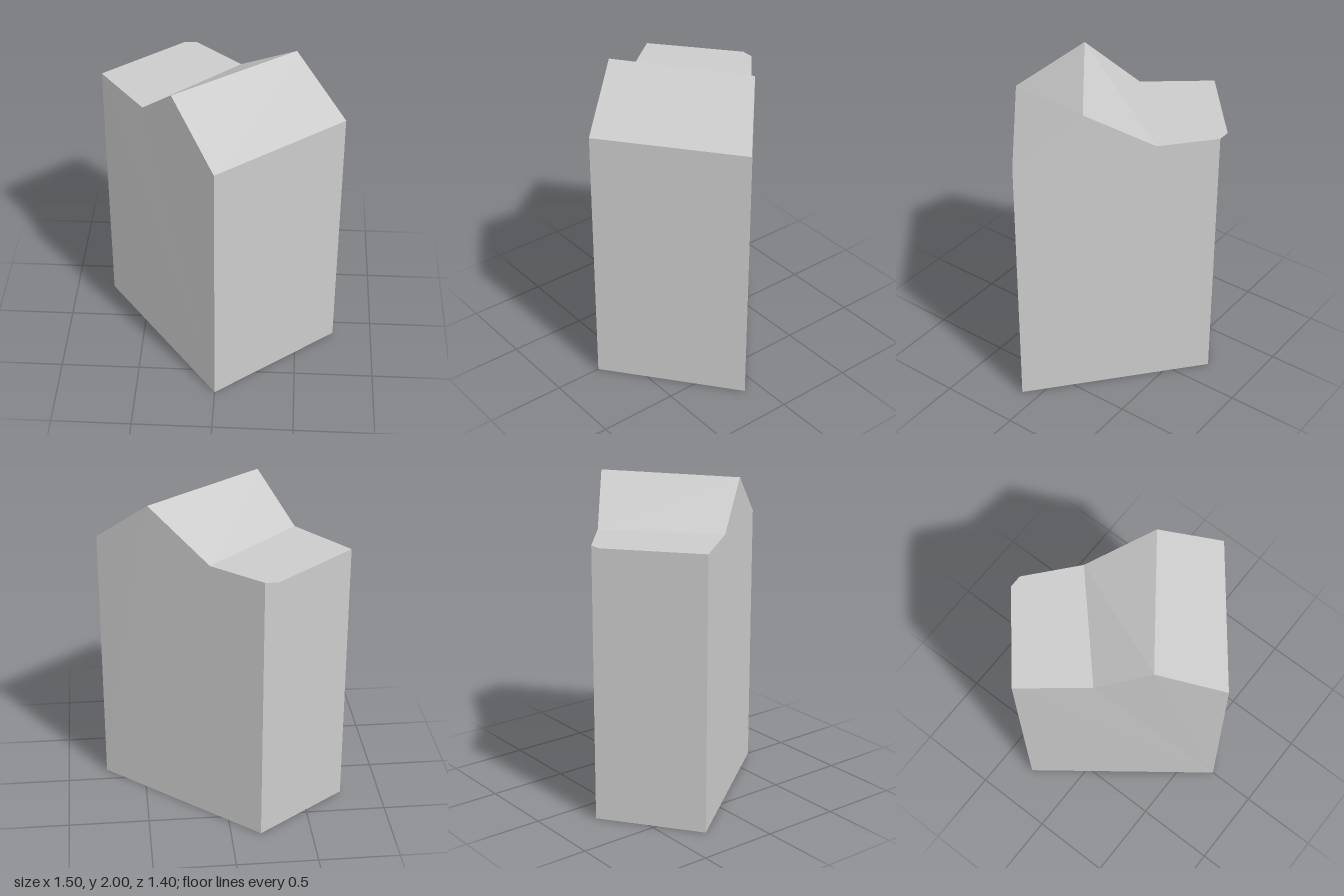
import * as THREE from 'three';

const material = new THREE.MeshStandardMaterial({ color: 0xcccccc, flatShading: true });

// One flat panel, fanned from its first corner (corners counter-clockwise from outside)
function panel(name, corners) {
  const triangles = [];
  for (let i = 1; i < corners.length - 1; i++) {
    triangles.push(...corners[0], ...corners[i], ...corners[i + 1]);
  }
  const geometry = new THREE.BufferGeometry();
  geometry.setAttribute('position', new THREE.Float32BufferAttribute(triangles, 3));
  geometry.computeVertexNormals();
  const mesh = new THREE.Mesh(geometry, material);
  mesh.name = name;
  return mesh;
}

export function createModel() {
  const group = new THREE.Group();
  group.name = 'building';

  const eaveY = 1.697, flatY = 1.727, ridgeY = 2;
  const at = ([x, z], y) => [x, y, z];

  // Footprint corners
  const front = [0, 0.698], right = [0.75, 0.105], back = [-0.185, -0.698], left = [-0.75, -0.292];
  const [f0, r0, b0, l0] = [front, right, back, left].map((p) => at(p, 0));

  // Roof corners
  const f1 = at(front, eaveY), r1 = at(right, eaveY);
  const b1 = at(back, flatY), l1 = at(left, flatY);
  const ridgeL = [-0.263, ridgeY, 0.355], ridgeR = [0.447, ridgeY, -0.172];
  const valleyL = [-0.462, flatY, 0.075], valleyR = [0.105, flatY, -0.447];
  const eaveTip = [-0.265, flatY, -0.698];

  group.add(
    panel('frontWall', [f0, r0, r1, f1]),
    panel('rightGableWall', [r0, b0, b1, valleyR, ridgeR, r1]),
    panel('backWall', [b0, l0, l1, b1]),
    panel('leftGableWall', [f0, f1, ridgeL, valleyL, l1, l0]),
    panel('frontRoofSlope', [f1, r1, ridgeR, ridgeL]),
    panel('backRoofSlope', [ridgeL, ridgeR, valleyR, valleyL]),
    panel('flatRoof', [valleyL, valleyR, b1, eaveTip, l1]),
    // Underside of the small roof overhang at the back
    panel('eaveUnderside', [b1, l1, eaveTip]),
    panel('base', [f0, l0, b0, r0]),
  );
  return group;
}
